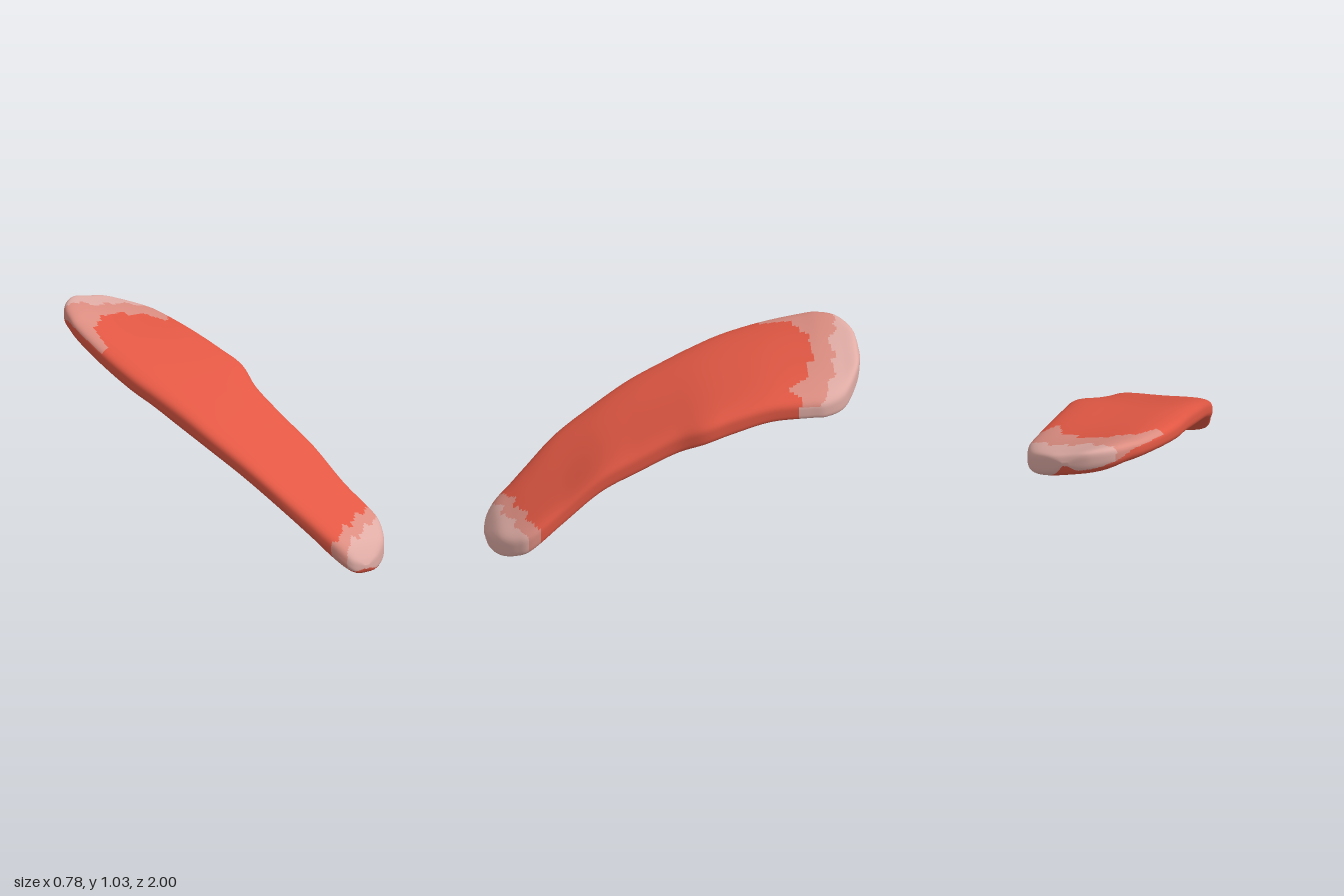
import * as THREE from 'three';

// Cross-sections from back to front: z, left/right x of the outline, edge heights, half thickness
const ROWS = [
  [-1.0, -0.06, -0.02, 0.93, 0.92, 0.012],
  [-0.975, -0.18, 0.08, 0.965, 0.88, 0.065],
  [-0.9, -0.29, 0.205, 0.978, 0.82, 0.088],
  [-0.8, -0.345, 0.262, 0.972, 0.805, 0.088],
  [-0.7, -0.37, 0.267, 0.945, 0.805, 0.087],
  [-0.5, -0.39, 0.267, 0.89, 0.795, 0.087],
  [-0.3, -0.385, 0.286, 0.83, 0.75, 0.092],
  [-0.15, -0.36, 0.302, 0.78, 0.705, 0.092],
  [0.0, -0.33, 0.268, 0.72, 0.635, 0.095],
  [0.2, -0.29, 0.28, 0.635, 0.535, 0.091],
  [0.4, -0.23, 0.302, 0.528, 0.435, 0.087],
  [0.6, -0.165, 0.34, 0.405, 0.275, 0.086],
  [0.77, -0.08, 0.388, 0.262, 0.15, 0.088],
  [0.85, -0.04, 0.37, 0.19, 0.105, 0.088],
  [0.93, 0.0, 0.31, 0.125, 0.07, 0.08],
  [0.98, 0.045, 0.22, 0.075, 0.047, 0.05],
  [1.0, 0.11, 0.14, 0.055, 0.05, 0.012],
];
const STEPS = 10, SIDES = 120;

// Smooth interpolation of one column between the cross-sections
function column(k, v) {
  const last = ROWS.length - 1;
  const i = Math.min(Math.floor(v), last - 1), t = v - i;
  const at = (n) => ROWS[Math.max(0, Math.min(last, n))][k];
  const m0 = (at(i + 1) - at(i - 1)) / 2, m1 = (at(i + 2) - at(i)) / 2;
  const t2 = t * t, t3 = t2 * t;
  return (2 * t3 - 3 * t2 + 1) * at(i) + (t3 - 2 * t2 + t) * m0
    + (3 * t2 - 2 * t3) * at(i + 1) + (t3 - t2) * m1;
}

// Piecewise linear border line through [x, z] points
function border(points, x) {
  if (x <= points[0][0]) return points[0][1];
  for (let i = 1; i < points.length; i++) {
    const [x0, z0] = points[i - 1], [x1, z1] = points[i];
    if (x <= x1) return z0 + (z1 - z0) * (x - x0) / (x1 - x0);
  }
  return points[points.length - 1][1];
}
const BACK_MID = [[-0.38, -0.5], [-0.34, -0.52], [-0.29, -0.66], [-0.24, -0.7], [-0.1, -0.76],
  [0, -0.73], [0.08, -0.71], [0.18, -0.61], [0.23, -0.66], [0.27, -0.65]];
const BACK_LIGHT = [[-0.34, -0.86], [-0.25, -0.9], [-0.1, -0.85], [0.05, -0.86], [0.2, -0.81], [0.26, -0.76]];

// Colour index of a spot: 0 body, 1 blended border, 2 pale end. s runs from -1 below to 1 above.
function tint(x, z, s) {
  const wobble = 0.012 * Math.sin(x * 47) + 0.007 * Math.sin(x * 91 + 1);
  if (z > 0.5) {
    if (s < -0.5) return 0;
    const edge = 0.89 - 0.38 * x + wobble;
    return z > edge + 0.065 ? 2 : z > edge ? 1 : 0;
  }
  if (s < -0.92 + 4 * Math.max(0, -0.1 - x)) return 0;
  if (s < 0.15 && x > 0.12 && z < -0.65) return 2;
  if (z < border(BACK_LIGHT, x) + wobble) return 2;
  return z < border(BACK_MID, x) + wobble ? 1 : 0;
}

export function createModel() {
  const group = new THREE.Group();
  const material = (name, color) => {
    const m = new THREE.MeshStandardMaterial({ color });
    m.name = name;
    return m;
  };
  const materials = [
    material('red', 0xe25844),
    material('mid pink', 0xdc8d81),
    material('pale pink', 0xe0aca5),
  ];

  // Tilted slab lofted through the cross-sections, squarer on the +x rim, with a slightly dished top
  const positions = [], faces = [[], [], []];
  const rings = (ROWS.length - 1) * STEPS;
  for (let i = 0; i <= rings; i++) {
    const [z, xl, xr, yl, yr, h] = [0, 1, 2, 3, 4, 5].map((k) => column(k, i / STEPS));
    for (let j = 0; j < SIDES; j++) {
      const a = (j / SIDES) * Math.PI * 2;
      const power = 0.62 - 0.07 * Math.cos(a);
      const soft = (n) => Math.sign(n) * Math.pow(Math.abs(n), power);
      const c = soft(Math.cos(a)), s = soft(Math.sin(a));
      const dish = 0.2 * Math.max(s, 0) * (1 - c * c);
      positions.push(
        (xl + xr) / 2 + c * (xr - xl) / 2,
        (yl + yr) / 2 + c * (yr - yl) / 2 + (s - dish) * h,
        z,
      );
    }
  }
  for (let i = 0; i < rings; i++) {
    for (let j = 0; j < SIDES; j++) {
      const k = (j + 1) % SIDES;
      const a = i * SIDES + j, b = i * SIDES + k, c = b + SIDES, d = a + SIDES;
      const s = Math.sin(((j + 0.5) / SIDES) * Math.PI * 2);
      const x = (positions[a * 3] + positions[c * 3]) / 2;
      const z = (positions[a * 3 + 2] + positions[c * 3 + 2]) / 2;
      faces[tint(x, z, s)].push(a, b, c, a, c, d);
    }
  }

  // Caps closing both tips
  const end = rings * SIDES;
  for (let j = 1; j < SIDES - 1; j++) {
    faces[2].push(0, j + 1, j, end, end + j, end + j + 1);
  }

  const geometry = new THREE.BufferGeometry();
  geometry.setAttribute('position', new THREE.Float32BufferAttribute(positions, 3));
  geometry.setIndex(faces.flat());
  let start = 0;
  faces.forEach((f, i) => {
    geometry.addGroup(start, f.length, i);
    start += f.length;
  });
  geometry.computeVertexNormals();

  const slab = new THREE.Mesh(geometry, materials);
  slab.name = 'curvedSlice';
  group.add(slab);
  return group;
}
